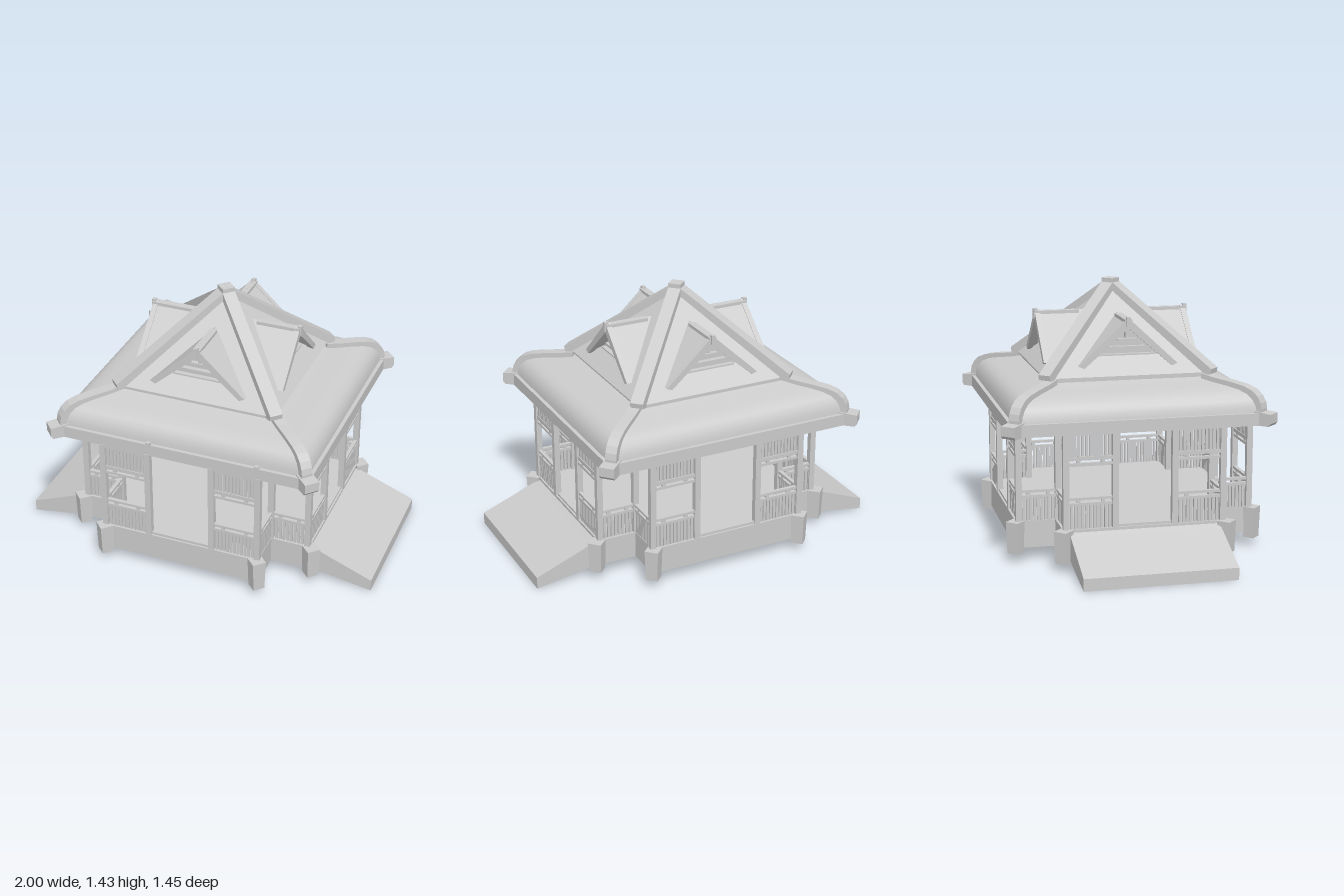
import * as THREE from 'three';
import { mergeGeometries } from 'three/addons/utils/BufferGeometryUtils.js';

const grey = new THREE.MeshStandardMaterial({ color: 0xcccccc, side: THREE.DoubleSide });
const flat = new THREE.MeshStandardMaterial({ color: 0xcccccc, side: THREE.DoubleSide, flatShading: true });

function add(parent, name, geo, x = 0, y = 0, z = 0, mat = flat) {
  const m = new THREE.Mesh(geo, mat);
  m.name = name;
  m.position.set(x, y, z);
  parent.add(m);
  return m;
}
const box = (w, h, d, x = 0, y = 0, z = 0) => new THREE.BoxGeometry(w, h, d).translate(x, y, z);
const shape = pts => new THREE.Shape(pts.map(p => new THREE.Vector2(...p)));
const extrude = (s, depth) => new THREE.ExtrudeGeometry(s, { depth, bevelEnabled: false });
const signs = [[1, 1], [-1, 1], [-1, -1], [1, -1]];

// Four-sided loft through rectangles [halfX, halfZ, y]; each side is separate so hips stay sharp
function fourSided(rings) {
  const sides = signs.map((a, i) => {
    const b = signs[(i + 1) % 4], pos = [], idx = [];
    rings.forEach(([hx, hz, y], k) => {
      pos.push(a[0] * hx, y, a[1] * hz, b[0] * hx, y, b[1] * hz);
      if (k) { const n = 2 * k; idx.push(n - 2, n, n - 1, n - 1, n, n + 1); }
    });
    const g = new THREE.BufferGeometry();
    g.setAttribute('position', new THREE.Float32BufferAttribute(pos, 3));
    g.setIndex(idx.flatMap((_, j) => j % 3 ? [] : [idx[j], idx[j + 2], idx[j + 1]]));
    g.computeVertexNormals();
    return g;
  });
  return mergeGeometries(sides);
}

// Ribs over the four hips: outline in (distance from centre, height)
function hipRibs(parent, name, outline, width, angle) {
  for (const [sx, sz] of signs) {
    const rib = add(parent, name, extrude(shape(outline), width).translate(0, 0, -width / 2));
    rib.rotation.y = -Math.atan2(sz * Math.sin(angle), sx * Math.cos(angle));
  }
}

// Slatted wall bay between two floor points
function bay(parent, name, a, b, withValance) {
  const len = Math.hypot(b[0] - a[0], b[1] - a[1]);
  const parts = [];
  const slats = (y0, y1) => {
    const n = Math.round(len / 0.02);
    for (let i = 0; i < n; i++)
      parts.push(box(0.0145, y1 - y0, 0.012, ((i + 0.5) / n - 0.5) * len, (y0 + y1) / 2));
  };
  const rail = (y, h) => parts.push(box(len, h, 0.02, 0, y));
  slats(0.22, 0.35);
  rail(0.352, 0.014);
  rail(0.38, 0.014);
  for (const t of [-0.25, 0.25]) parts.push(box(0.02, 0.03, 0.015, t * len, 0.366));
  if (withValance) {
    slats(0.6, 0.72);
    rail(0.722, 0.016);
    rail(0.592, 0.02);
    rail(0.562, 0.014);
    for (const t of [-0.25, 0.25]) parts.push(box(0.02, 0.03, 0.015, t * len, 0.575));
  }
  const m = add(parent, name, mergeGeometries(parts), (a[0] + b[0]) / 2, 0, (a[1] + b[1]) / 2);
  m.rotation.y = -Math.atan2(b[1] - a[1], b[0] - a[0]);
}

// Triangular gable dormer facing +z
function dormer() {
  const g = new THREE.Group();
  g.name = 'dormer';
  const tri = (w, y0, y1) => [[-w, y0], [w, y0], [0, y1]];
  add(g, 'dormerBody', extrude(shape(tri(0.205, 1.045, 1.215)), 0.2), 0, 0, 0.15);
  // roof boards, open underneath
  const chevron = [[-0.262, 1.022], [-0.245, 1.01], [0, 1.225], [0.245, 1.01], [0.262, 1.022], [0, 1.262]];
  add(g, 'dormerRoof', extrude(shape(chevron), 0.29), 0, 0, 0.11);
  add(g, 'bargeboard', extrude(shape([[-0.265, 1.022], [-0.235, 1.01], [0, 1.215], [0.235, 1.01],
    [0.265, 1.022], [0, 1.268]]), 0.03), 0, 0, 0.39);
  add(g, 'dormerRidge', box(0.04, 0.022, 0.24, 0, 1.25, 0.3));
  add(g, 'finial', box(0.022, 0.05, 0.022, 0, 1.248, 0.417));
  // louvre slats and king post
  for (let i = 0; i < 3; i++)
    add(g, 'louvre', box(0.3 - i * 0.1, 0.008, 0.03, 0, 1.07 + i * 0.04, 0.362));
  add(g, 'kingPost', box(0.014, 0.05, 0.03, 0, 1.185, 0.365));
  return g;
}

export function createModel() {
  const model = new THREE.Group();
  model.name = 'pavilion';

  const body = new THREE.Group();
  body.name = 'body';
  body.position.z = 0.026;
  model.add(body);

  // Cross-shaped platform with notched corners
  const X = 0.66, Z = 0.645, NX = 0.445, NZ = 0.435;
  const plan = signs.flatMap(([sx, sz]) => {
    const c = [[sx * X, sz * NZ], [sx * NX, sz * NZ], [sx * NX, sz * Z]];
    return sx * sz > 0 ? c : c.reverse();
  });
  add(body, 'platform', extrude(shape(plan), 0.145).rotateX(Math.PI / 2), 0, 0.22, 0);

  // Ramps on both sides
  for (const s of [1, -1]) {
    const ramp = add(body, 'ramp', extrude(shape([[0.64, 0.07], [0.72, 0.05], [1, 0.003],
      [1, 0.068], [0.69, 0.19], [0.64, 0.215]]), 0.804).translate(0, 0, -0.402));
    ramp.rotation.y = s > 0 ? 0 : Math.PI;
    add(body, 'sideThreshold', box(0.04, 0.012, 0.29), s * 0.63, 0.226, 0);
    add(body, 'threshold', box(0.34, 0.014, 0.04), 0, 0.227, s * 0.615);
  }

  // Tapered piers, posts and slatted bays, repeated in each corner
  const px = 0.645, pz = 0.628, ix = 0.437, iz = 0.418, dx = 0.18, dz = 0.158;
  for (const [sx, sz] of signs) {
    for (const [x, z] of [[0.67, 0.435], [0.44, 0.645]]) {
      const pier = new THREE.CylinderGeometry(0.052, 0.045, 0.17, 4);
      add(body, 'pier', pier, sx * x, 0.136, sz * z);
    }
    for (const [x, z] of [[px, iz], [ix, pz], [ix, iz], [dx, pz], [px, dz]])
      add(body, 'post', box(0.032, 0.52, 0.032), sx * x, 0.475, sz * z);
    const at = (x, z) => [sx * x, sz * z];
    bay(body, 'frontBay', at(dx, pz), at(ix, pz), true);
    bay(body, 'sideBay', at(px, dz), at(px, iz), true);
    bay(body, 'cornerRailing', at(ix, iz), at(px, iz), false);
    bay(body, 'cornerRailing', at(ix, iz), at(ix, pz), false);
  }

  const roof = new THREE.Group();
  roof.name = 'roof';
  roof.position.z = -0.008;
  model.add(roof);

  // Eave slab and bell-shaped lower roof
  add(roof, 'eave', box(1.43, 0.065, 1.35), 0, 0.7625, 0);
  const curve = [[0.695, 0.793], [0.69, 0.825], [0.676, 0.858], [0.652, 0.886], [0.615, 0.905],
    [0.56, 0.918], [0.49, 0.93], [0.43, 0.945]];
  add(roof, 'lowerRoof', fourSided(curve.map(([h, y]) => [h, h - 0.04 * (h - 0.43) / 0.265, y])), 0, 0, 0, grey);
  add(roof, 'neck', box(0.86, 0.06, 0.86), 0, 0.95, 0);
  for (const x of [-0.17, 0.43]) add(roof, 'eaveBlock', box(0.025, 0.025, 0.02), x, 0.797, 0.67);

  // Lower hip ribs with corner caps
  const hip = Math.atan2(0.68, 0.72);
  const top = curve.map(([h, y]) => [h * 1.375, y + 0.022]);
  hipRibs(roof, 'lowerHipRib', [[0.59, 0.9], [0.93, 0.76], [0.955, 0.76], ...top], 0.06, hip);
  hipRibs(roof, 'cornerCap', [[0.9, 0.73], [1.0, 0.73], [1.012, 0.745], [1.012, 0.795], [0.9, 0.805]], 0.08, hip);

  // Upper pyramid with raised hips
  const pyramid = new THREE.ConeGeometry(0.445 * Math.SQRT2, 0.44, 4).rotateY(Math.PI / 4);
  add(roof, 'upperRoof', pyramid, 0, 1.19, 0);
  hipRibs(roof, 'upperHipRib', [[0, 1.37], [0.6, 0.955], [0.64, 0.965], [0.645, 0.992], [0, 1.43]], 0.07, Math.PI / 4);
  add(roof, 'peak', box(0.07, 0.05, 0.07), 0, 1.404, 0).rotation.y = Math.PI / 4;

  for (let i = 0; i < 4; i++) {
    const d = dormer();
    d.rotation.y = i * Math.PI / 2;
    roof.add(d);
  }
  return model;
}
